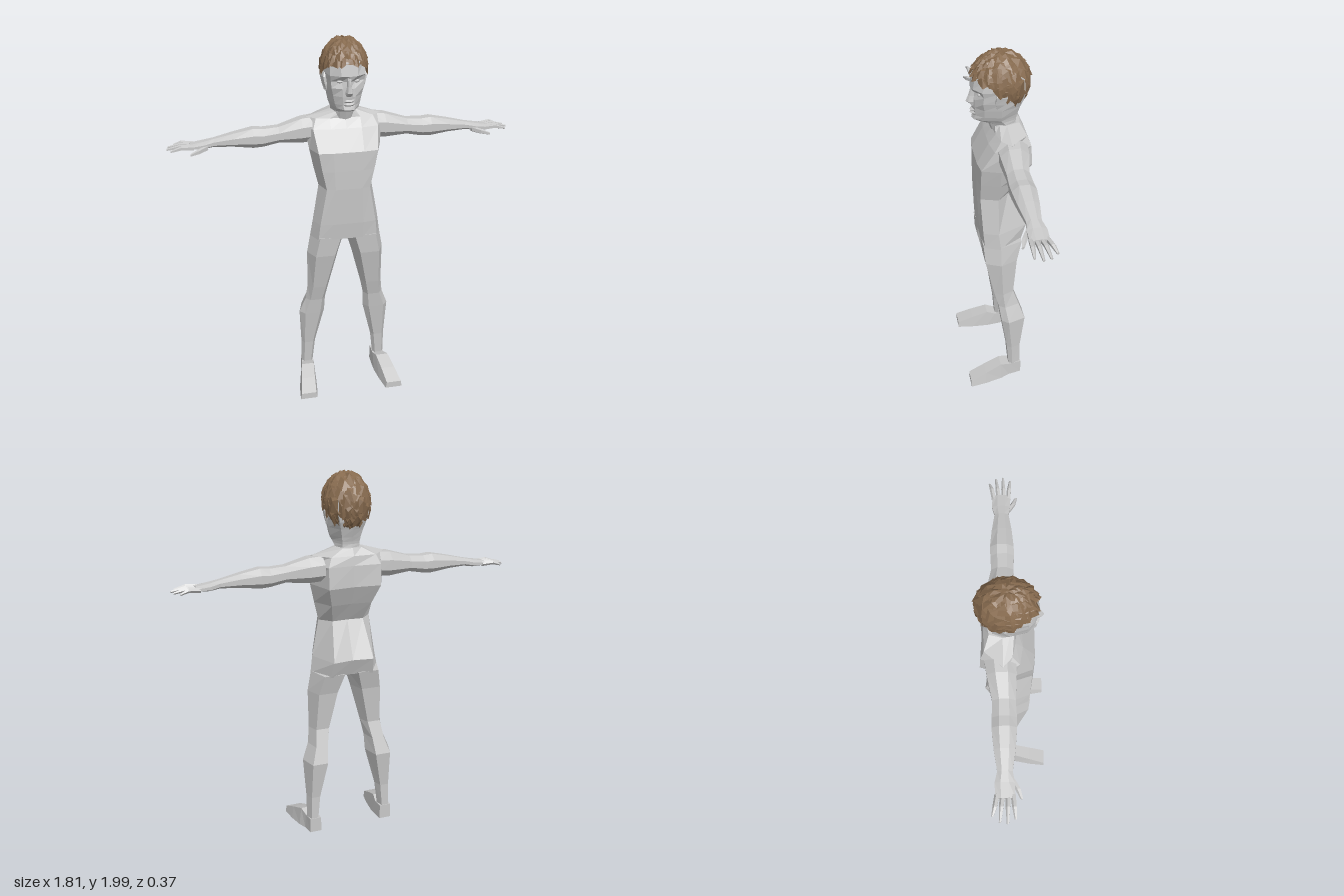
import * as THREE from 'three';

const skin = new THREE.MeshStandardMaterial({ color: 0xc8c8c8 });
skin.name = 'grey skin';
const brown = new THREE.MeshStandardMaterial({ color: 0x866a4e, side: THREE.DoubleSide });
brown.name = 'brown hair';

// Faceted geometry from a flat list of triangle corners
function facets(points) {
  const g = new THREE.BufferGeometry().setFromPoints(points);
  g.computeVertexNormals();
  return g;
}

// Skin over rings of points (counter-clockwise seen from the last ring), closed at both ends
function loft(rings) {
  const out = [], n = rings[0].length;
  for (let r = 0; r < rings.length - 1; r++) {
    for (let i = 0; i < n; i++) {
      const j = (i + 1) % n, a = rings[r], b = rings[r + 1];
      out.push(a[i], a[j], b[j], a[i], b[j], b[i]);
    }
  }
  [rings[0], rings[rings.length - 1]].forEach((ring, end) => {
    const mid = new THREE.Vector3();
    ring.forEach(p => mid.addScaledVector(p, 1 / n));
    ring.forEach((p, i) => {
      const q = ring[(i + 1) % n];
      out.push(mid, end ? p : q, end ? q : p);
    });
  });
  return facets(out);
}

// The same geometry on the other side of x = 0, with its winding kept outward
function mirrored(g) {
  const p = g.attributes.position, out = [];
  for (let i = 0; i < p.count; i += 3) {
    for (const k of [0, 2, 1]) out.push(new THREE.Vector3(-p.getX(i + k), p.getY(i + k), p.getZ(i + k)));
  }
  return facets(out);
}

const V = (x, y, z) => new THREE.Vector3(x, y, z);

// Level ring from half a section: [y, x,z, x,z, ...] running front centre to back centre
function symRing([y, ...f]) {
  const half = [];
  for (let i = 0; i < f.length; i += 2) half.push(V(f[i], y, f[i + 1]));
  const other = half.slice(1, -1).reverse().map(p => V(-p.x, y, p.z));
  return [...half, ...other];
}

export function createModel() {
  const model = new THREE.Group();
  model.name = 'standingMan';
  const add = (name, geo, mat = skin) => {
    const m = new THREE.Mesh(geo, mat);
    m.name = name;
    model.add(m);
  };
  const addPair = (name, geo) => {
    add('left' + name, geo);
    add('right' + name, mirrored(geo));
  };

  // Torso from hips to neck base
  add('torso', loft([
    [0.93, 0, .088, .08, .088, .16, .08, .192, 0, .12, -.12, 0, -.10],
    [1.02, 0, .097, .08, .097, .15, .087, .178, .01, .11, -.15, 0, -.135],
    [1.22, 0, .106, .07, .106, .115, .095, .143, .005, .085, -.055, 0, -.05],
    [1.32, 0, .106, .075, .106, .137, .095, .167, 0, .11, -.115, 0, -.105],
    [1.42, 0, .105, .08, .105, .155, .095, .188, 0, .14, -.165, 0, -.152],
    [1.53, 0, .045, .08, .045, .17, .03, .205, -.03, .14, -.158, 0, -.15],
    [1.578, 0, .015, .08, .01, .15, -.005, .2, -.05, .12, -.14, 0, -.143],
    [1.615, 0, .01, .035, .005, .055, -.015, .068, -.05, .05, -.115, 0, -.125],
  ].map(symRing)));

  // Legs: [y, inner x, outer x, front z, back z, side z]
  addPair('Leg', loft([
    [.03, .18, .243, -.04, -.105, -.06],
    [.10, .18, .245, -.04, -.105, -.06],
    [.23, .165, .245, -.03, -.105, -.055],
    [.44, .113, .255, 0, -.13, -.035],
    [.53, .11, .22, .012, -.10, -.02],
    [.62, .09, .21, .035, -.07, -.01],
    [.83, .035, .21, .08, -.09, 0],
    [.94, 0, .19, .088, -.12, 0],
  ].map(([y, a, b, f, k, s]) => {
    const w = b - a;
    return [V(a + w * .2, y, f), V(b - w * .2, y, f), V(b, y, s),
      V(b - w * .2, y, k), V(a + w * .2, y, k), V(a, y, s)];
  })));

  // Feet: [z, inner x, outer x, bottom y, top y, top inset]
  addPair('Foot', loft([
    [-.11, .177, .243, .018, .10, .002],
    [-.04, .175, .25, .012, .095, .004],
    [.01, .175, .268, .008, .11, .012],
    [.10, .185, .285, .003, .075, .012],
    [.19, .20, .295, 0, .035, .006],
  ].map(([z, a, b, lo, hi, c]) => [V(b, lo, z), V(b - c, hi, z), V(a + c, hi, z), V(a, lo, z)])));

  // Arms and palms: [x, bottom y, top y, front z, back z]
  addPair('Arm', loft([
    [.15, 1.45, 1.582, .015, -.14],
    [.22, 1.445, 1.575, .015, -.13],
    [.34, 1.455, 1.54, .008, -.105],
    [.42, 1.44, 1.535, .012, -.108],
    [.47, 1.437, 1.54, .012, -.11],
    [.57, 1.45, 1.52, .003, -.10],
    [.67, 1.455, 1.497, -.012, -.085],
    [.72, 1.448, 1.487, -.003, -.098],
    [.79, 1.45, 1.476, -.002, -.095],
  ].map(([x, lo, hi, f, b]) => Array.from({ length: 8 }, (_, i) => {
    const t = (i + .5) * Math.PI / 4;
    return V(x, (lo + hi) / 2 + (hi - lo) * .53 * Math.sin(t), (f + b) / 2 - (f - b) * .53 * Math.cos(t));
  }))));

  // Fingers and thumb: root, knuckle, tip and thickness
  const digit = (pts, r) => loft(pts.map(([x, y, z], i) => {
    const s = r * [1, .9, .45][i];
    return [0, 1, 2, 3, 4].map(k => V(x, y + s * Math.sin(k * 1.2566), z - s * Math.cos(k * 1.2566)));
  }));
  [[-.085, -.108, .87], [-.06, -.074, .898], [-.035, -.038, .905], [-.012, -.002, .885]].forEach(([z0, z1, tip], i) => {
    addPair('Finger' + (i + 1), digit([[.77, 1.462, z0], [.83, 1.468, (z0 + z1) / 2], [tip, 1.455, z1]], .013));
  });
  addPair('Thumb', digit([[.70, 1.46, -.018], [.745, 1.45, .01], [.79, 1.44, .027]], .016));

  // Neck, jaw, face and skull
  add('head', loft([
    [1.57, 0, .02, .03, .012, .055, -.01, .075, -.05, .05, -.115, 0, -.128],
    [1.615, 0, .035, .03, .028, .053, 0, .066, -.045, .045, -.098, 0, -.108],
    [1.632, 0, .09, .025, .083, .05, .04, .07, -.03, .046, -.098, 0, -.106],
    [1.645, 0, .116, .025, .108, .055, .065, .075, -.02, .047, -.10, 0, -.108],
    [1.668, 0, .108, .03, .10, .064, .062, .084, -.02, .05, -.105, 0, -.115],
    [1.71, 0, .114, .032, .102, .073, .062, .093, -.02, .06, -.115, 0, -.13],
    [1.75, 0, .113, .03, .10, .082, .07, .099, -.02, .07, -.13, 0, -.145],
    [1.785, 0, .109, .035, .082, .085, .066, .103, -.02, .08, -.135, 0, -.15],
    [1.815, 0, .12, .04, .113, .09, .075, .105, -.02, .08, -.135, 0, -.15],
    [1.88, 0, .108, .045, .10, .087, .055, .102, -.03, .08, -.13, 0, -.15],
    [1.94, 0, .055, .03, .05, .055, .02, .065, -.03, .05, -.09, 0, -.10],
  ].map(symRing)));

  // Nose, lips, eyes and ears
  add('nose', loft([
    [1.715, 0, .117, .012, .115, .02, .10, 0, .09],
    [1.735, 0, .142, .012, .132, .021, .10, 0, .09],
    [1.765, 0, .13, .008, .122, .015, .09, 0, .085],
    [1.805, 0, .117, .008, .113, .014, .08, 0, .075],
  ].map(symRing)));
  for (const [name, y, h] of [['lowerLip', 1.673, .008], ['upperLip', 1.69, .007]]) {
    add(name, loft([-h, 0, h].map((d, i) =>
      symRing([y + d, 0, i === 1 ? .124 : .113, .016, i === 1 ? .117 : .108, .032, .097, 0, .08]))));
  }
  addPair('Eye', new THREE.OctahedronGeometry(1, 1).scale(.017, .009, .01).translate(.042, 1.785, .083).toNonIndexed());
  addPair('Ear', loft([
    [1.725, .095, .104, .005, -.015],
    [1.755, .09, .112, .012, -.03],
    [1.795, .09, .12, .012, -.042],
    [1.815, .095, .114, .002, -.035],
  ].map(([y, a, b, f, k]) => [V(a, y, f), V(b - .008, y, f), V(b, y, k), V(a, y, k)])));

  // Hair surface: angle a runs round from the front, t from crown (0) to hairline (1)
  const line = [1.872, 1.85, 1.80, 1.735, 1.69];
  const scalp = (a, t, s) => {
    const u = (1 - Math.cos(a)) * 2, i = Math.min(3, Math.floor(u));
    const edge = THREE.MathUtils.lerp(line[i], line[i + 1], u - i);
    const th = t * Math.acos((edge - 1.83) / .15);
    return V(.117 * s * Math.sin(th) * Math.sin(a), 1.83 + .15 * s * Math.cos(th),
      -.028 + .144 * s * Math.sin(th) * Math.cos(a));
  };
  const cap = [], N = 20, rows = 6;
  for (let r = 0; r < rows; r++) {
    for (let i = 0; i < N; i++) {
      const [a, b] = [i, i + 1].map(k => k / N * Math.PI * 2), t = r / rows, d = (r + 1) / rows;
      cap.push(scalp(a, t, 1), scalp(a, d, 1), scalp(b, d, 1));
      if (r) cap.push(scalp(a, t, 1), scalp(b, d, 1), scalp(b, t, 1));
    }
  }
  add('hairCap', facets(cap), brown);

  // Overlapping pointed locks laid over the cap
  let seed = 7;
  const rnd = () => (seed = (seed * 16807) % 2147483647) / 2147483647;
  const locks = [];
  for (let r = 0; r < 7; r++) {
    const count = 7 + Math.round(r * 2.2);
    for (let i = 0; i < count; i++) {
      const a = (i + r * .5 + rnd() * .5) / count * Math.PI * 2, w = 3.6 / count * (.8 + rnd() * .4);
      const t = .04 + r * .125 + rnd() * .04, end = t + .2 + rnd() * .09;
      const L = scalp(a - w, t, 1), R = scalp(a + w, t, 1);
      const M = scalp(a, t + .07, 1.05 + rnd() * .02);
      const front = Math.cos(a) > .6 && r > 4 ? .04 : 0;
      const tip = scalp(a + (rnd() - .5) * w, end, 1.045 + rnd() * .045 + front);
      const l = scalp(a - w * .9, end - .06, 1.015), q = scalp(a + w * .9, end - .07, 1.015);
      locks.push(L, l, M, l, tip, M, M, tip, q, M, q, R, L, M, R);
    }
  }
  add('hairLocks', facets(locks), brown);

  return model;
}
